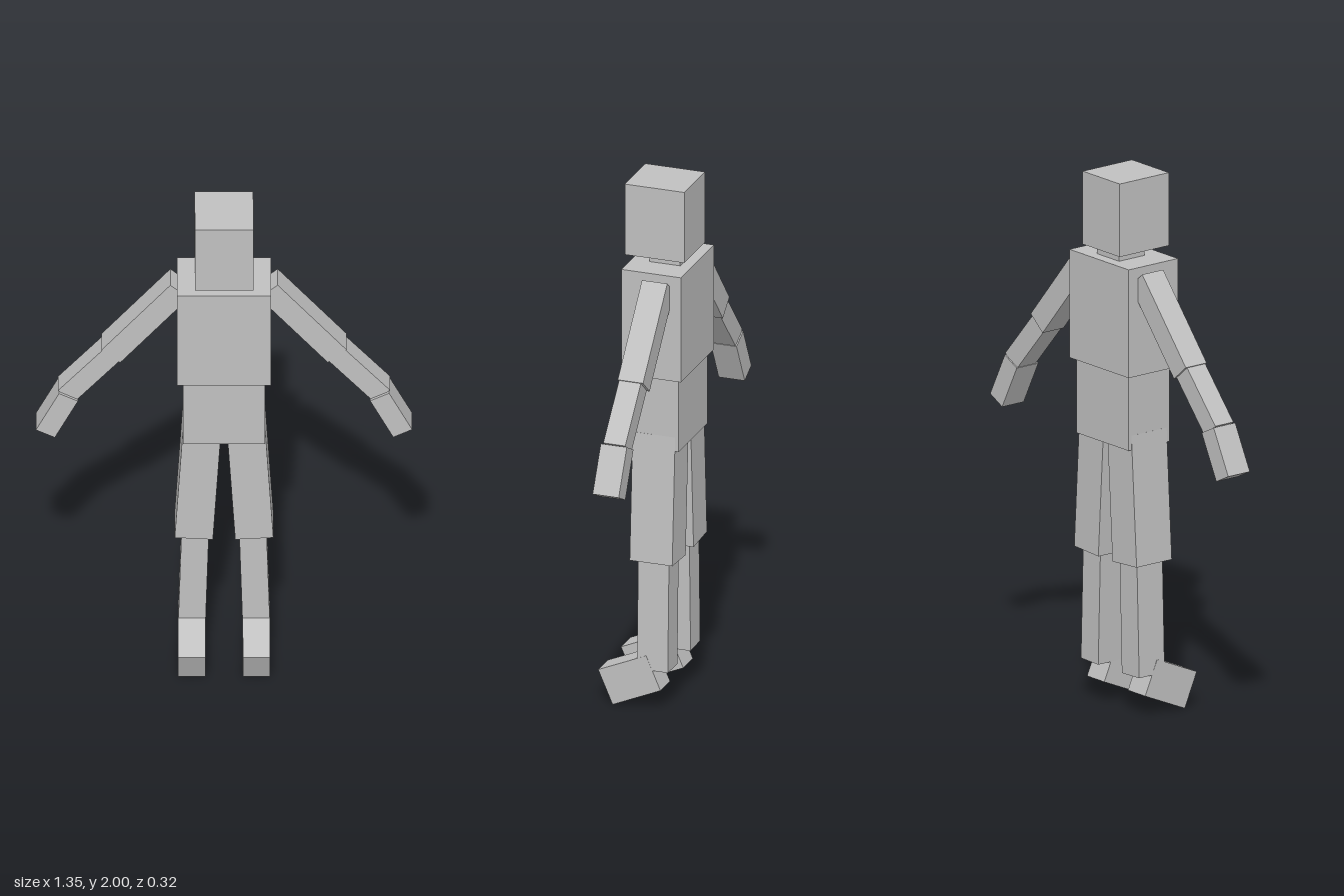
import * as THREE from 'three';

export function createModel() {
  const model = new THREE.Group();
  model.name = 'blockFigure';
  const grey = new THREE.MeshStandardMaterial({ color: 0xc0c0c0 });
  grey.name = 'plain grey';

  function block(name, size, position, parent = model) {
    const mesh = new THREE.Mesh(new THREE.BoxGeometry(...size), grey);
    mesh.name = name;
    mesh.position.set(...position);
    parent.add(mesh);
    return mesh;
  }

  // Limb block running between two points in the front plane
  function limb(name, from, to, width, depth, z, side, parent) {
    const dx = (to[0] - from[0]) * side;
    const dy = to[1] - from[1];
    const mesh = block(name, [width, Math.hypot(dx, dy), depth],
      [side * (from[0] + to[0]) / 2, (from[1] + to[1]) / 2, z], parent);
    mesh.rotation.z = Math.atan2(dx, -dy);
  }

  // Head and trunk
  block('head', [0.21, 0.273, 0.228], [0, 1.8635, -0.037]);
  block('neck', [0.124, 0.08, 0.118], [0, 1.7, -0.06]);
  block('chest', [0.336, 0.405, 0.228], [0, 1.4925, -0.047]);
  block('abdomen', [0.294, 0.3, 0.19], [0, 1.16, -0.05]);

  // Arms and legs, mirrored
  for (const side of [1, -1]) {
    const label = side > 0 ? 'left' : 'right';

    const arm = new THREE.Group();
    arm.name = label + 'Arm';
    model.add(arm);
    limb('upperArm', [0.159, 1.647], [0.406, 1.355], 0.088, 0.097, -0.07, side, arm);
    limb('forearm', [0.39, 1.373], [0.566, 1.173], 0.078, 0.084, -0.067, side, arm);
    limb('hand', [0.558, 1.176], [0.641, 1.012], 0.076, 0.1, -0.064, side, arm);

    const leg = new THREE.Group();
    leg.name = label + 'Leg';
    model.add(leg);
    limb('thigh', [0.079, 1.06], [0.1085, 0.573], 0.137, 0.163, -0.05, side, leg);
    limb('shin', [0.103, 0.6], [0.116, 0.155], 0.098, 0.118, -0.051, side, leg);
    const foot = block('foot', [0.098, 0.139, 0.2], [side * 0.116, 0.1075, 0.0375], leg);
    foot.rotation.x = 0.41; // toes point down
  }

  return model;
}
